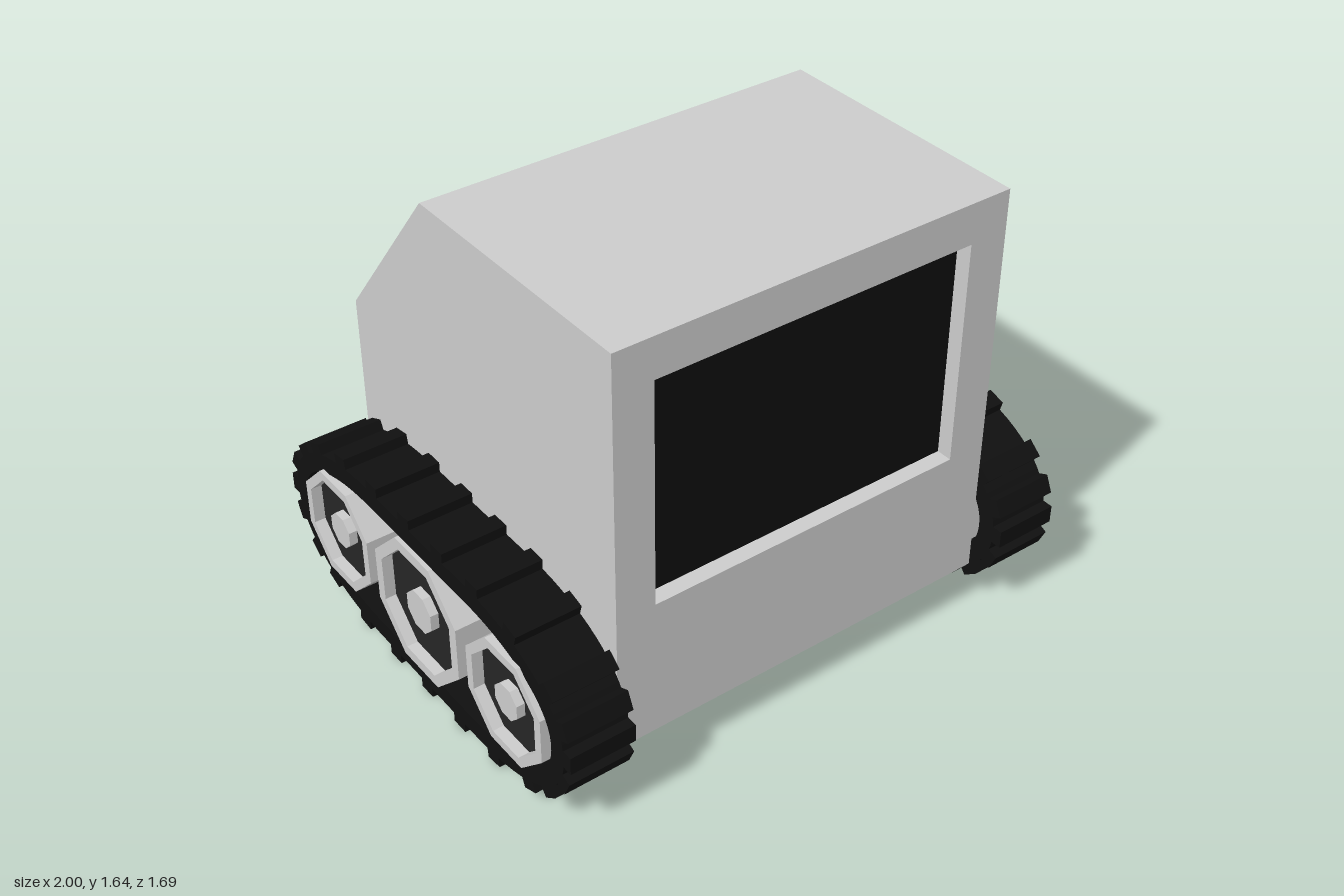
import * as THREE from 'three';

const mat = (color) => new THREE.MeshStandardMaterial({ color, flatShading: true });
const grey = mat(0xcccccc), rubber = mat(0x101010), dark = mat(0x262626), glass = mat(0x0e0e0e);

const AXLE_Y = 0.35, TRACK_X = 0.865, TRACK_W = 0.235;
const FLAT = 0.27, N = 2.2; // straight half-length and roundness of the belt loop
const END = 0.54, HALF_H = 0.313; // outer belt end length and half height

function add(parent, name, geometry, material, x = 0, y = 0, z = 0) {
  const mesh = new THREE.Mesh(geometry, material);
  mesh.name = name;
  mesh.position.set(x, y, z);
  parent.add(mesh);
  return mesh;
}

// Extrude a (z, y) outline along x, centred on x = 0
function extrudeSide(shape, width) {
  return new THREE.ExtrudeGeometry(shape, { depth: width, bevelEnabled: false })
    .rotateY(-Math.PI / 2).translate(width / 2, 0, 0);
}

function rectPoints(x0, y0, x1, y1) {
  return [[x0, y0], [x1, y0], [x1, y1], [x0, y1]].map(([x, y]) => new THREE.Vector2(x, y));
}

// Belt loop: straight runs joined by rounded ends
function loopPoints(a, b) {
  const points = [];
  for (let i = 0; i < 64; i++) {
    const t = ((i + 0.5) / 64) * Math.PI * 2, c = Math.cos(t), s = Math.sin(t);
    points.push(new THREE.Vector2(
      Math.sign(c) * (FLAT + a * Math.abs(c) ** (2 / N)),
      Math.sign(s) * b * Math.abs(s) ** (2 / N)));
  }
  return points;
}

const partner = (u) => (1 - Math.min(1, Math.abs(u)) ** N) ** (1 / N);

// A tread lug centred on the belt surface and turned to its normal
function addLug(parent, z, y) {
  const u = Math.max(Math.abs(z) - FLAT, 0) / END, v = Math.abs(y) / HALF_H;
  const nz = Math.sign(z) * u ** (N - 1) / END, ny = Math.sign(y) * v ** (N - 1) / HALF_H;
  const lug = add(parent, 'treadLug', new THREE.BoxGeometry(TRACK_W, 0.072, 0.065), rubber, 0, y, z);
  lug.rotation.x = Math.atan2(nz, ny);
}

// Octagonal wheel with a recessed dark face and a hub on both sides
function createWheel(name, apothem) {
  const wheel = new THREE.Group();
  wheel.name = name;
  const k = 1 / Math.cos(Math.PI / 8);
  const outer = apothem * k, inner = apothem * 0.84 * k, hub = apothem * 0.295 * k;
  const w = 0.1325, recess = 0.04;
  const turn = (g) => g.rotateY(Math.PI / 8).rotateZ(-Math.PI / 2);
  const profile = [[inner, recess - w], [inner, -w], [outer, -w], [outer, w], [inner, w], [inner, w - recess]]
    .map(([r, h]) => new THREE.Vector2(r, h));
  add(wheel, 'wheelRim', turn(new THREE.LatheGeometry(profile, 8)), grey);
  add(wheel, 'wheelFace', turn(new THREE.CylinderGeometry(inner, inner, 2 * (w - recess), 8)), dark);
  add(wheel, 'wheelHub', turn(new THREE.CylinderGeometry(hub, hub, 2 * w - 0.02, 8)), grey);
  return wheel;
}

function createTrack(name) {
  const track = new THREE.Group();
  track.name = name;

  const belt = new THREE.Shape(loopPoints(END, HALF_H));
  belt.holes.push(new THREE.Path(loopPoints(0.475, 0.245)));
  add(track, 'trackBelt', extrudeSide(belt, TRACK_W), rubber);

  // Lugs along the upper and lower runs, then around both ends
  const yAt = (z) => HALF_H * partner(Math.max(Math.abs(z) - FLAT, 0) / END);
  const zAt = (y) => FLAT + END * partner(y / HALF_H);
  for (const z of [0.535, 0.335, 0.136, -0.062, -0.26, -0.46, -0.625]) addLug(track, z, yAt(z));
  for (const z of [0.6, 0.4, 0.2, 0, -0.2, -0.4, -0.6]) addLug(track, z, -yAt(z));
  for (const y of [0.19, 0.1, 0, -0.1, -0.2]) {
    addLug(track, zAt(y), y);
    addLug(track, -zAt(y), y);
  }

  const wheels = [['frontWheel', 0.507, 0.205], ['middleWheel', 0, 0.245], ['rearWheel', -0.507, 0.205]];
  for (const [label, z, apothem] of wheels) {
    const wheel = createWheel(label, apothem);
    wheel.position.z = z;
    track.add(wheel);
  }
  return track;
}

export function createModel() {
  const model = new THREE.Group();
  model.name = 'trackedScreenUnit';

  // Housing with the sloped back
  const side = [[0.67, 0.18], [0.67, 1.645], [-0.25, 1.645], [-0.732, 1.05], [-0.732, 0.18]];
  const housing = new THREE.Shape(side.map(([z, y]) => new THREE.Vector2(z, y)));
  add(model, 'housing', extrudeSide(housing, 1.464), grey);

  // Front frame around the recessed screen
  const frame = new THREE.Shape(rectPoints(-0.732, 0.18, 0.732, 1.645));
  frame.holes.push(new THREE.Path(rectPoints(-0.59, 0.69, 0.59, 1.5)));
  add(model, 'frontFrame', new THREE.ExtrudeGeometry(frame, { depth: 0.062, bevelEnabled: false }),
    grey, 0, 0, 0.67);
  add(model, 'screen', new THREE.BoxGeometry(1.18, 0.81, 0.01), glass, 0, 1.095, 0.67);

  // Tracks on both sides
  for (const [name, s] of [['leftTrack', 1], ['rightTrack', -1]]) {
    const track = createTrack(name);
    track.position.set(s * TRACK_X, AXLE_Y, 0);
    model.add(track);
  }
  return model;
}
